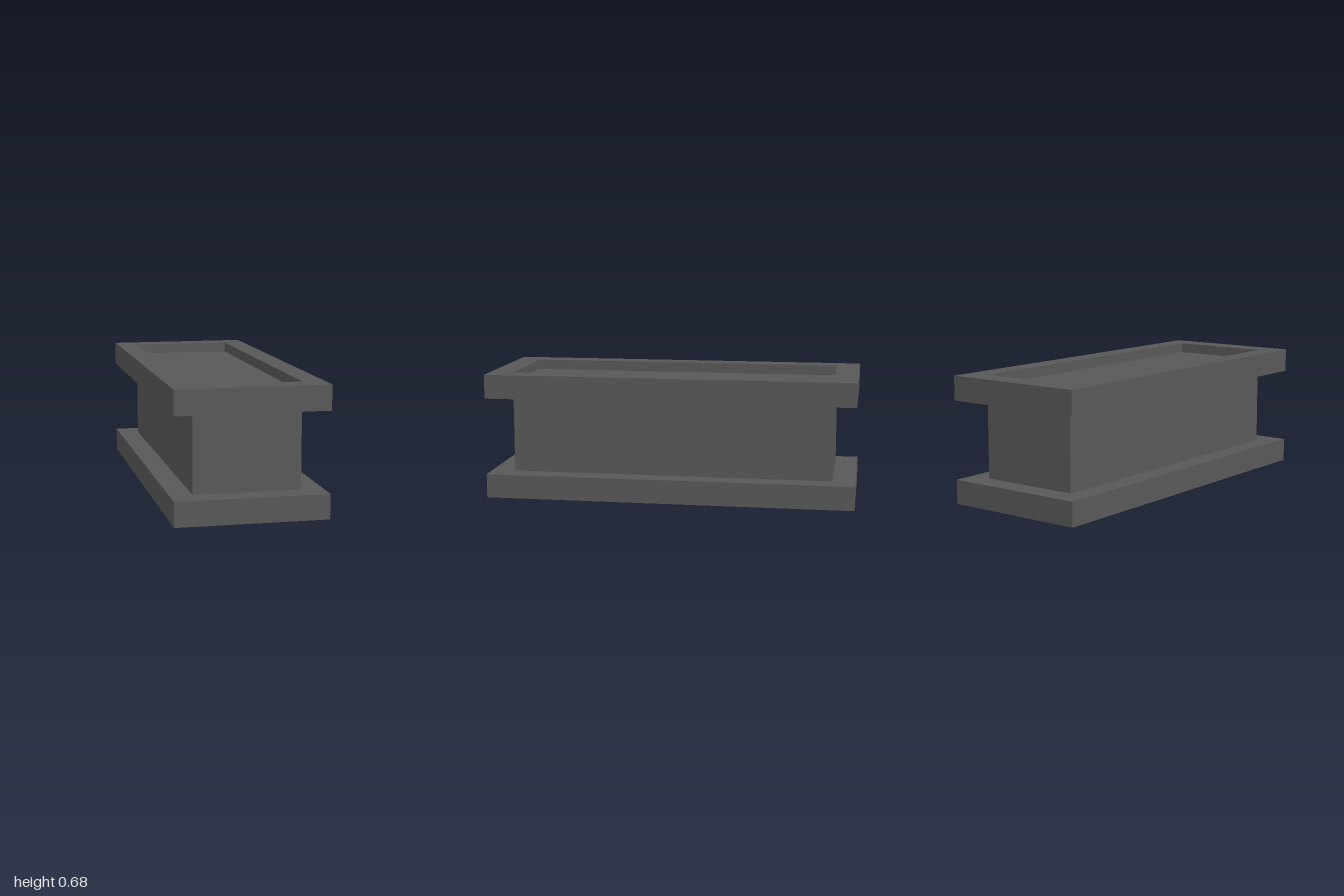
import * as THREE from 'three';

const WIDTH = 0.79, LENGTH = 2, HEIGHT = 0.679, FLANGE = 0.13;
const CORE_WIDTH = 0.558, CORE_LENGTH = 1.747;

// Rectangle centred on the origin, as a shape or as a hole path
function rectangle(Type, w, l) {
  const x = w / 2, y = l / 2;
  return new Type([[-x, -y], [x, -y], [x, y], [-x, y]].map(([a, b]) => new THREE.Vector2(a, b)));
}

export function createModel() {
  const model = new THREE.Group();
  model.name = 'beam';
  const steel = new THREE.MeshStandardMaterial({ color: 0x585858 });
  steel.name = 'dark grey';

  // Rectangular flange frames that wrap the ends of the core
  const outline = rectangle(THREE.Shape, WIDTH, LENGTH);
  outline.holes.push(rectangle(THREE.Path, CORE_WIDTH, CORE_LENGTH));
  const frame = new THREE.ExtrudeGeometry(outline, { depth: FLANGE, bevelEnabled: false });
  frame.rotateX(-Math.PI / 2);
  for (const [name, y] of [['bottomFlange', 0], ['topFlange', HEIGHT - FLANGE]]) {
    const flange = new THREE.Mesh(frame, steel);
    flange.name = name;
    flange.position.y = y;
    model.add(flange);
  }

  // Core block, sunk below the rim at the top and set in at the bottom
  const low = 0.025, high = HEIGHT - 0.055;
  const core = new THREE.Mesh(new THREE.BoxGeometry(CORE_WIDTH, high - low, CORE_LENGTH), steel);
  core.name = 'core';
  core.position.set(0.001, (low + high) / 2, -0.002);
  model.add(core);

  return model;
}
